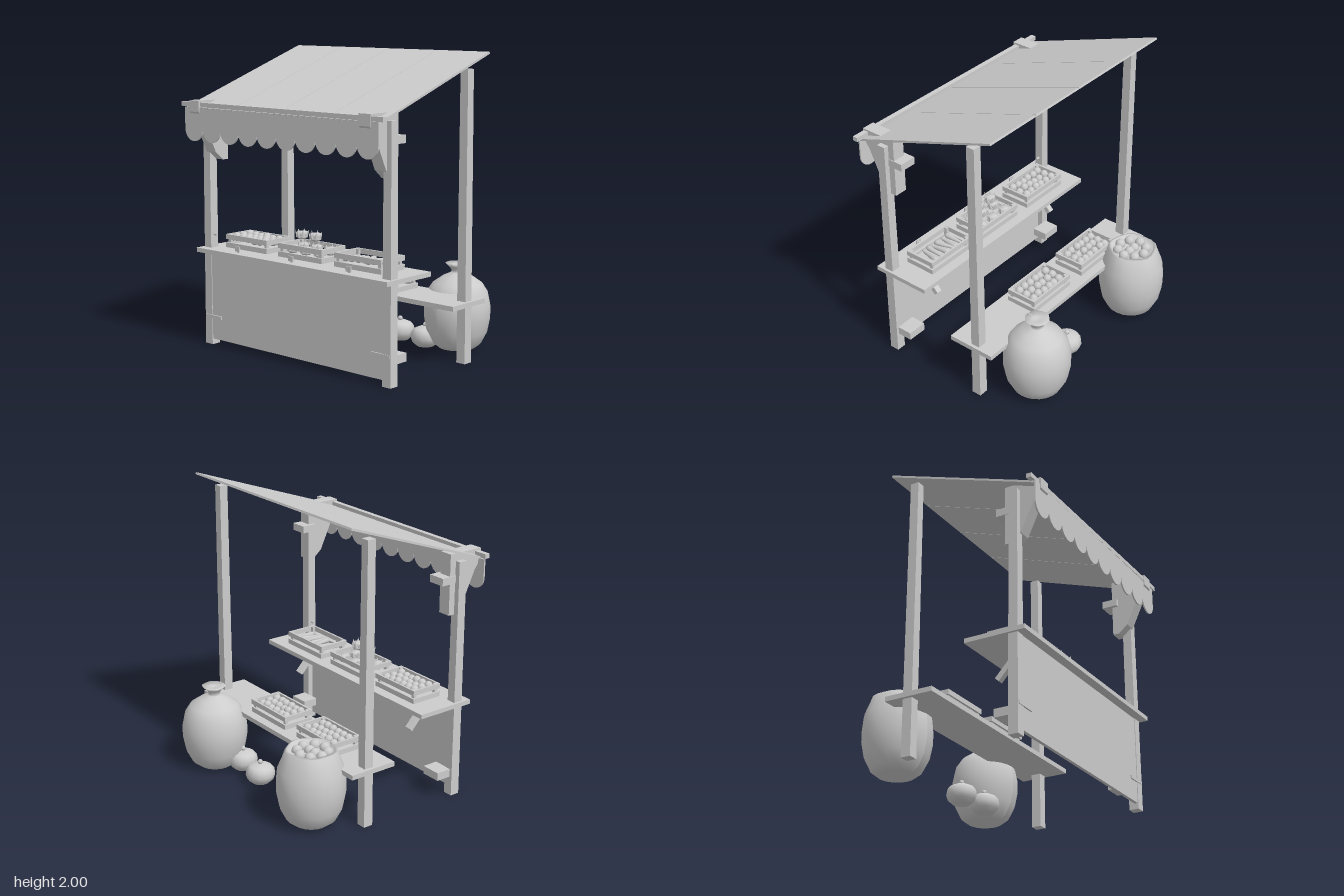
import * as THREE from 'three';

export function createModel() {
  const root = new THREE.Group();
  const grey = new THREE.MeshStandardMaterial({ color: 0xcccccc, side: THREE.DoubleSide });
  grey.name = 'plain grey';

  const add = (name, geo, x = 0, y = 0, z = 0, parent = root) => {
    const m = new THREE.Mesh(geo, grey);
    m.name = name;
    m.position.set(x, y, z);
    parent.add(m);
    return m;
  };
  // box given by its lower and upper corners
  const box = (name, x0, x1, y0, y1, z0, z1, parent = root) =>
    add(name, new THREE.BoxGeometry(x1 - x0, y1 - y0, z1 - z0),
      (x0 + x1) / 2, (y0 + y1) / 2, (z0 + z1) / 2, parent);
  const lathe = (pts, n) => new THREE.LatheGeometry(pts.map(p => new THREE.Vector2(...p)), n);
  let seed = 7;
  const rnd = () => (seed = (seed * 16807) % 2147483647) / 2147483647;

  // square post, slightly thinner at the top
  const post = (name, x, z, h, w) => {
    const g = new THREE.CylinderGeometry(w * 0.64, w * 0.72, h, 4);
    g.rotateY(Math.PI / 4);
    add(name, g.toNonIndexed(), x, h / 2, z).geometry.computeVertexNormals();
  };

  // knee bracket outline in (z, y)
  const knee = new THREE.Shape([[0.71, 1.675], [0.455, 1.675], [0.455, 1.27], [0.50, 1.27],
    [0.565, 1.325], [0.665, 1.54], [0.71, 1.60]].map(p => new THREE.Vector2(...p)));
  const kneeGeo = new THREE.ExtrudeGeometry(knee, { depth: 0.09, bevelEnabled: false });
  kneeGeo.translate(0, 0, -0.045).rotateY(-Math.PI / 2);

  // frame, mirrored left and right
  for (const s of [-1, 1]) {
    post('frontPost', s * 0.795, 0.53, 1.625, 0.066);
    post('backPost', s * 0.795, -0.21, 1.9, 0.066);
    add('kneeBracket', kneeGeo, s * 0.745);
    add('upperBlock', new THREE.BoxGeometry(0.12, 0.05, 0.11), s * 0.735, 1.505, 0.445);
    add('lowerBlock', new THREE.BoxGeometry(0.14, 0.055, 0.11), s * 0.74, 0.16, 0.445);
    add('strap', new THREE.BoxGeometry(0.15, 0.022, 0.012), s * 0.745, 0.195, 0.562);
    add('nail', new THREE.CylinderGeometry(0.009, 0.009, 0.03, 6), s * 0.752, 0.76, 0.53)
      .rotation.z = Math.PI / 2;
    add('counterBrace', new THREE.BoxGeometry(0.04, 0.036, 0.2), s * 0.61, 0.533, 0.37)
      .rotation.x = -0.82;
  }

  // boards
  box('frontPanel', -0.78, 0.78, 0.04, 0.645, 0.535, 0.558);
  box('counter', -0.845, 0.845, 0.64, 0.67, 0.2, 0.62);
  box('backShelf', -0.85, 0.85, 0.378, 0.41, -0.36, -0.02);
  add('frontBeam', new THREE.BoxGeometry(1.77, 0.03, 0.035), 0, 1.647, 0.683).rotation.y = -0.006;

  // sloped roof of four sheets
  const sheet = 0.4225;
  for (let i = 0; i < 4; i++)
    add('roofSheet', new THREE.BoxGeometry(sheet - 0.004, 0.014, 1.145),
      (i - 1.5) * sheet, 1.807, 0.16).rotation.x = 0.338;

  // scalloped valance
  const w = 0.169;
  const val = new THREE.Shape();
  val.moveTo(-0.845, 1.63);
  val.lineTo(-0.845, 1.49);
  for (let i = 0; i < 10; i++)
    val.absellipse(-0.845 + w * (i + 0.5), 1.49, w / 2, 0.085, Math.PI, Math.PI * 2, false);
  val.lineTo(0.845, 1.63);
  add('valance', new THREE.ExtrudeGeometry(val, { depth: 0.01, bevelEnabled: false, curveSegments: 8 }),
    0, 0, 0.692);

  // slatted crate
  const crate = (x, y, z) => {
    const g = new THREE.Group();
    g.name = 'crate';
    g.position.set(x, y, z);
    root.add(g);
    box('crateFloor', -0.185, 0.185, 0.008, 0.02, -0.105, 0.105, g);
    for (const [lo, hi] of [[0.004, 0.038], [0.06, 0.094]])
      for (const s of [-1, 1]) {
        add('crateLongSlat', new THREE.BoxGeometry(0.39, hi - lo, 0.014), 0, (lo + hi) / 2, s * 0.106, g);
        add('crateEndSlat', new THREE.BoxGeometry(0.014, hi - lo, 0.2), s * 0.188, (lo + hi) / 2, 0, g);
      }
    for (const sx of [-1, 1]) for (const sz of [-1, 1])
      add('crateCorner', new THREE.BoxGeometry(0.022, 0.09, 0.022), sx * 0.172, 0.047, sz * 0.09, g);
    return g;
  };
  const fruitGeo = new THREE.SphereGeometry(0.029, 10, 7);
  const fillFruit = g => {
    for (let i = 0; i < 6; i++) for (let j = 0; j < 3; j++)
      add('fruit', fruitGeo, (i - 2.5) * 0.055 + (rnd() - 0.5) * 0.008,
        0.064 + rnd() * 0.014, (j - 1) * 0.06 + (rnd() - 0.5) * 0.008, g);
  };

  const left = crate(-0.495, 0.67, 0.38);
  const middle = crate(0, 0.67, 0.38);
  const right = crate(0.495, 0.67, 0.38);
  fillFruit(left);
  fillFruit(crate(-0.38, 0.41, -0.19));
  fillFruit(crate(0.14, 0.41, -0.19));

  // leafy heads: a bud with a ring of pointed leaves
  const bud = lathe([[0, -0.032], [0.026, -0.028], [0.04, 0], [0.034, 0.02], [0, 0.024]], 8);
  const leaf = new THREE.ConeGeometry(0.02, 0.052, 4);
  leaf.scale(1, 1, 0.35);
  const head = (x, y, z) => {
    const g = new THREE.Group();
    g.name = 'leafyHead';
    g.position.set(x, y, z);
    middle.add(g);
    add('bud', bud, 0, 0, 0, g);
    for (let i = 0; i < 7; i++) {
      const a = i / 7 * Math.PI * 2;
      const l = add('leaf', leaf, Math.sin(a) * 0.039, 0.008, Math.cos(a) * 0.039, g);
      l.rotation.set(0.25, a, 0, 'YXZ');
    }
  };
  for (const x of [-0.06, 0.06]) head(x, 0.155, 0.025);
  for (const x of [-0.12, 0, 0.12]) for (const z of [-0.05, 0.05]) head(x, 0.06, z);

  // long roots lying in the right crate
  const rootGeo = lathe([[0, -0.085], [0.01, -0.06], [0.02, 0.05], [0.016, 0.07], [0, 0.078]], 7);
  rootGeo.rotateX(Math.PI / 2);
  for (let i = 0; i < 7; i++)
    add('longRoot', rootGeo, (i - 3) * 0.048, 0.045 + rnd() * 0.012, 0, right).rotation.y =
      (rnd() - 0.5) * 0.4 + (i % 2) * Math.PI;

  // small tags on the counter edge
  for (const x of [-0.495, 0, 0.495]) {
    add('tag', new THREE.BoxGeometry(0.04, 0.034, 0.008), x, 0.695, 0.572);
    add('tagStand', new THREE.BoxGeometry(0.014, 0.03, 0.014), x, 0.68, 0.562);
  }

  // sack cloth: gentle ripples that grow toward the mouth
  const ripple = (g, n, amp, from) => {
    const p = g.attributes.position;
    for (let i = 0; i < p.count; i++) {
      const t = Math.max(0, (p.getY(i) - from) / 0.2);
      const k = 1 + amp * t * Math.sin(Math.atan2(p.getX(i), p.getZ(i)) * n);
      p.setX(i, p.getX(i) * k);
      p.setZ(i, p.getZ(i) * k);
    }
    g.computeVertexNormals();
    return g;
  };
  const body = [[0, 0.005], [0.12, 0.005], [0.165, 0.04], [0.205, 0.12], [0.224, 0.22], [0.224, 0.3]];
  add('tiedSack', ripple(lathe([...body, [0.205, 0.39], [0.165, 0.45], [0.1, 0.495], [0.045, 0.52],
    [0.038, 0.535], [0.055, 0.56], [0.08, 0.585], [0.03, 0.575], [0, 0.572]], 24), 6, 0.03, 0.4),
    0.53, 0, -0.482);
  add('openSack', ripple(lathe([...body, [0.215, 0.39], [0.185, 0.46], [0.165, 0.515], [0.15, 0.52],
    [0.142, 0.49], [0.06, 0.485], [0, 0.485]], 20), 5, 0.035, 0.3), -0.56, 0, -0.462);
  const bigFruit = new THREE.SphereGeometry(0.036, 10, 8);
  for (let i = 0; i < 8; i++) {
    const a = i / 8 * Math.PI * 2;
    add('sackFruit', bigFruit, -0.565 + Math.sin(a) * 0.098, 0.497, -0.455 + Math.cos(a) * 0.098);
  }
  for (const x of [-0.59, -0.535]) add('sackFruit', bigFruit, x, 0.492, -0.455);

  // lidded pots on the ground
  const potGeo = lathe([[0, 0.003], [0.06, 0.003], [0.09, 0.03], [0.102, 0.065], [0.095, 0.1],
    [0.08, 0.118], [0.072, 0.122], [0.04, 0.136], [0, 0.14]], 14);
  for (const [x, z] of [[0.1, -0.4], [0.345, -0.375]]) {
    add('pot', potGeo, x, 0, z);
    add('potKnob', new THREE.SphereGeometry(0.018, 8, 6), x, 0.15, z);
  }

  return root;
}
